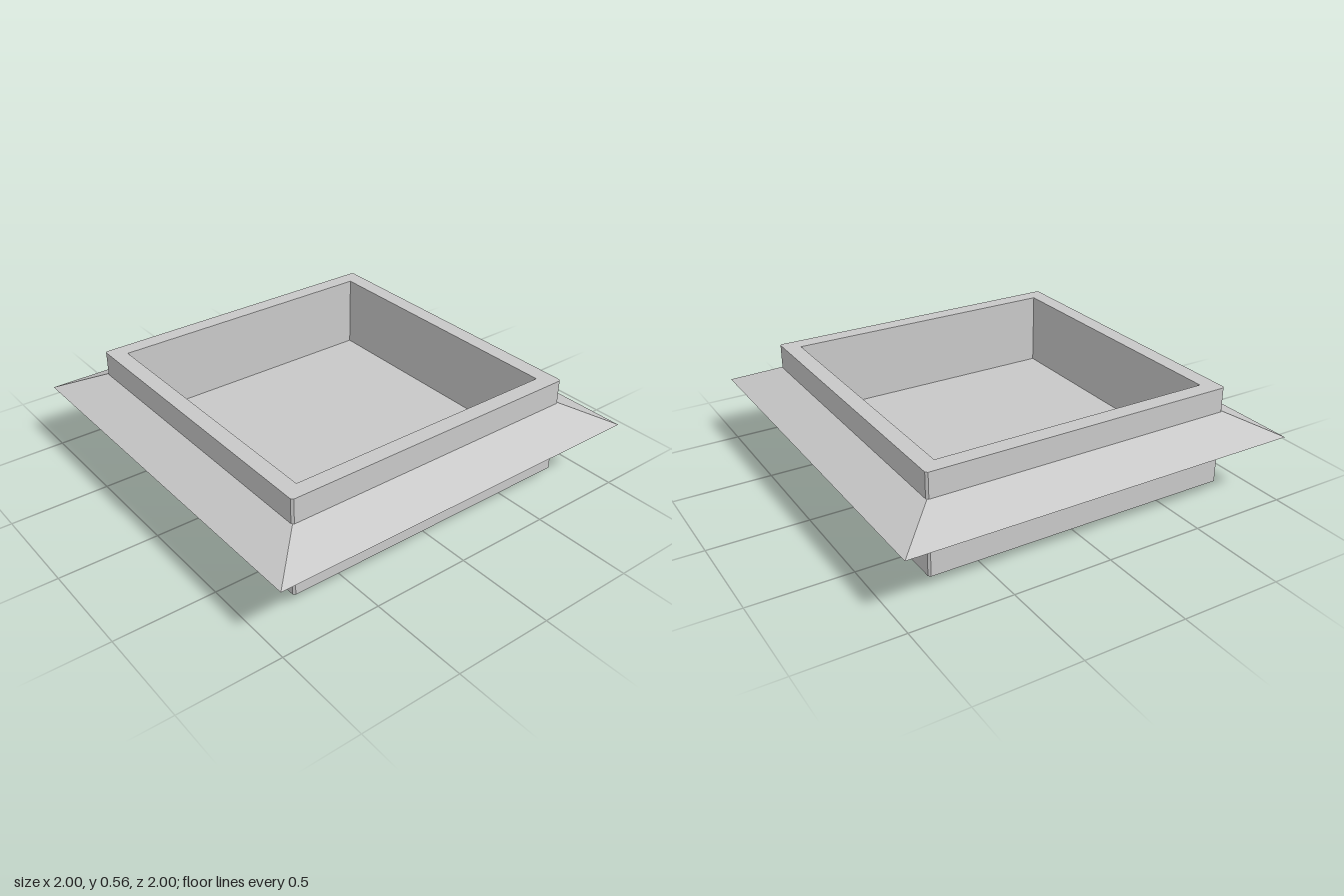
import * as THREE from 'three';

const grey = new THREE.MeshStandardMaterial({
  name: 'light grey', color: 0xc8c8c8, flatShading: true, side: THREE.DoubleSide,
});

// Four-sided frustum aligned to the axes, sized by half-widths
function squareFrustum(topHalf, bottomHalf, y0, y1, open) {
  const g = new THREE.CylinderGeometry(
    topHalf * Math.SQRT2, bottomHalf * Math.SQRT2, y1 - y0, 4, 1, open);
  g.rotateY(Math.PI / 4);
  g.translate(0, (y0 + y1) / 2, 0);
  const flat = g.toNonIndexed();
  flat.computeVertexNormals();
  return flat;
}

// Square outline with tiny cut corners
function squarePoints(h, cut = 0) {
  const pts = [];
  for (const [sx, sy] of [[1, 1], [-1, 1], [-1, -1], [1, -1]]) {
    const a = new THREE.Vector2(sx * h, sy * (h - cut));
    const b = new THREE.Vector2(sx * (h - cut), sy * h);
    if (cut === 0) pts.push(a);
    else pts.push(...(sx * sy > 0 ? [a, b] : [b, a]));
  }
  return pts;
}

export function createModel() {
  const group = new THREE.Group();
  group.name = 'flashedCurb';
  const add = (name, geometry) => {
    const mesh = new THREE.Mesh(geometry, grey);
    mesh.name = name;
    group.add(mesh);
  };

  // Upright square frame, open at the top
  const outline = new THREE.Shape(squarePoints(0.79, 0.01));
  outline.holes.push(new THREE.Path(squarePoints(0.708)));
  const frame = new THREE.ExtrudeGeometry(outline, { depth: 0.497, bevelEnabled: false });
  frame.rotateX(-Math.PI / 2);
  frame.translate(0, 0.068, 0);
  add('frame', frame);

  // Panel closing the inside of the frame
  const floor = new THREE.BoxGeometry(1.416, 0.122, 1.416);
  floor.translate(0, 0.129, 0);
  add('floorPanel', floor);

  // Thin sloping skirt around the outside
  add('skirt', squareFrustum(0.788, 1, 0.34, 0.442, true));

  // Tapered base underneath
  add('base', squareFrustum(0.68, 0.665, 0, 0.068, false));

  return group;
}
